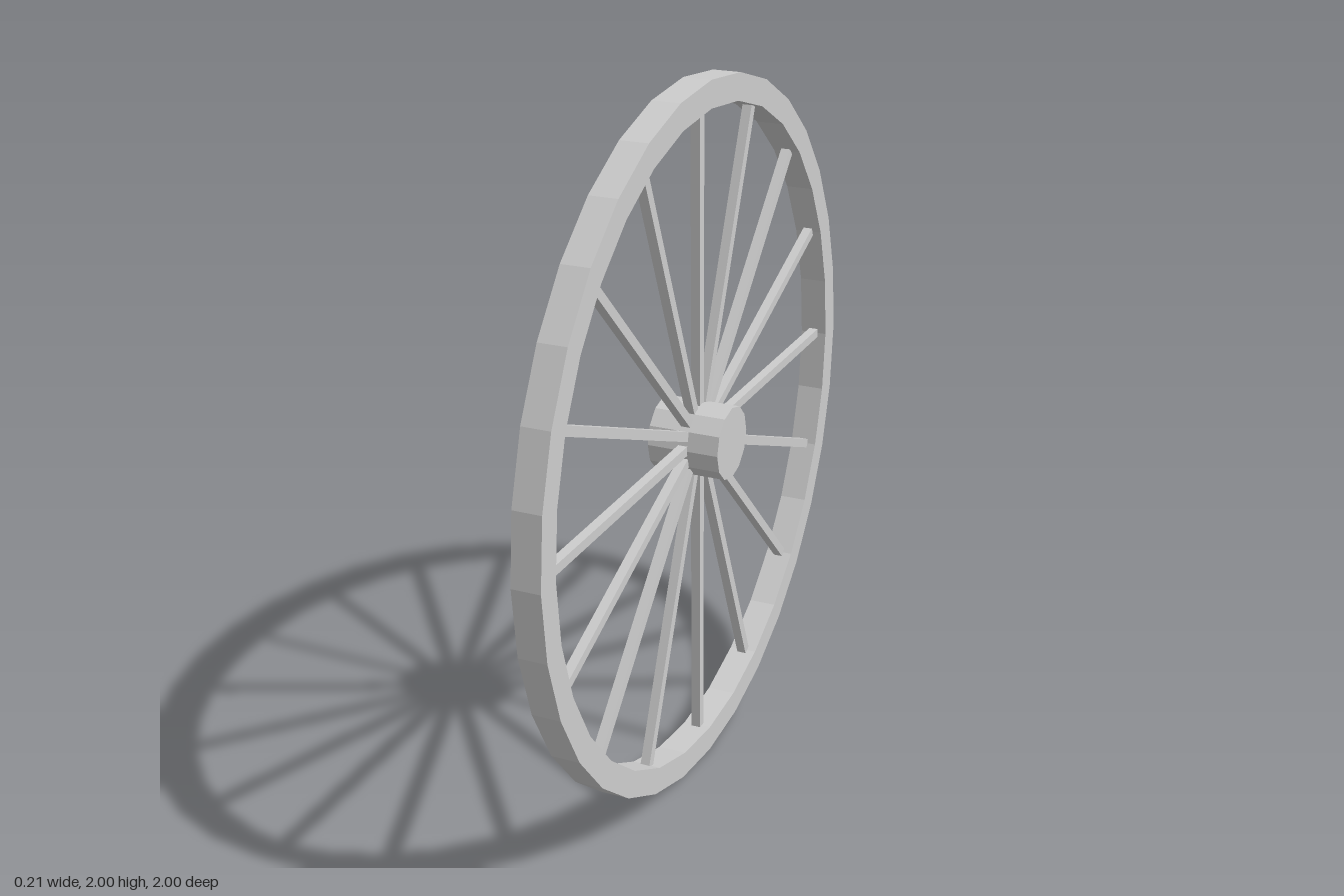
import * as THREE from 'three';

const RADIUS = 1, INNER = 0.925, WIDTH = 0.08, SPOKES = 16, RIM_SIDES = 32;

// Points of a regular polygon with a corner on each axis
function ring(radius, sides) {
  return Array.from({ length: sides }, (_, i) => {
    const a = (i / sides) * Math.PI * 2;
    return new THREE.Vector2(Math.cos(a) * radius, Math.sin(a) * radius);
  });
}

export function createModel() {
  const grey = new THREE.MeshStandardMaterial({ color: 0xcccccc, flatShading: true });
  grey.name = 'light grey';

  const wheel = new THREE.Group();
  wheel.name = 'spokedWheel';
  wheel.position.y = RADIUS;

  const add = (name, geometry) => {
    const mesh = new THREE.Mesh(geometry, grey);
    mesh.name = name;
    wheel.add(mesh);
    return mesh;
  };

  // Faceted rim with a rectangular section, axle along x
  const shape = new THREE.Shape(ring(RADIUS, RIM_SIDES));
  shape.holes.push(new THREE.Path(ring(INNER, RIM_SIDES).reverse()));
  const rim = new THREE.ExtrudeGeometry(shape, { depth: WIDTH, bevelEnabled: false });
  rim.translate(0, 0, -WIDTH / 2).rotateY(Math.PI / 2);
  add('rim', rim);

  // Hub
  add('hub', new THREE.CylinderGeometry(0.104, 0.104, 0.207, 12).rotateZ(Math.PI / 2));

  // Square spokes from the hub to the rim
  const start = 0.06, end = 0.928;
  const spoke = new THREE.BoxGeometry(0.027, end - start, 0.027).translate(0, (start + end) / 2, 0);
  for (let i = 0; i < SPOKES; i++) {
    add(`spoke${i + 1}`, spoke).rotation.x = (i / SPOKES) * Math.PI * 2;
  }

  const model = new THREE.Group();
  model.name = 'wheelModel';
  model.add(wheel);
  return model;
}
